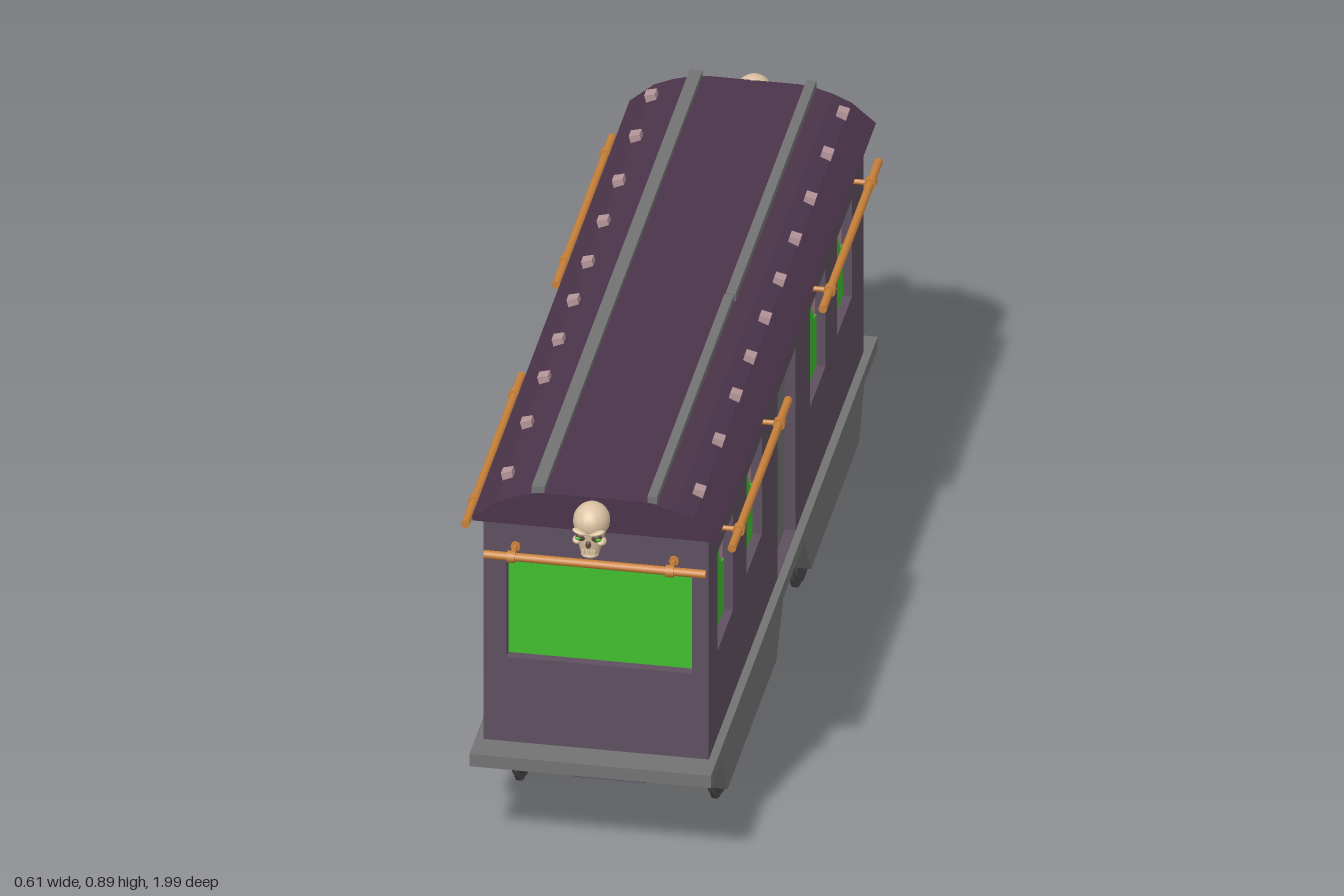
import * as THREE from 'three';

export function createModel() {
  const root = new THREE.Group();
  root.name = 'railwayCarriage';
  const car = new THREE.Group();
  car.name = 'carriage';
  car.position.z = -0.009;
  root.add(car);

  const mat = (name, color) => {
    const m = new THREE.MeshStandardMaterial({ color });
    m.name = name;
    return m;
  };
  const wall = mat('dusty purple', 0x5f5060);
  const roofMat = mat('deep plum', 0x4b344a);
  const grey = mat('iron grey', 0x737373);
  const dark = mat('wheel grey', 0x4c4c4c);
  const copper = mat('copper', 0xc8813a);
  const bone = mat('bone', 0xdcc3a3);
  const pink = mat('faded pink', 0xb59499);
  const green = mat('glowing green', 0x42bf2f);
  const socket = mat('socket brown', 0x5a4638);

  const add = (parent, name, geo, m, x = 0, y = 0, z = 0) => {
    const mesh = new THREE.Mesh(geo, m);
    mesh.name = name;
    mesh.position.set(x, y, z);
    parent.add(mesh);
    return mesh;
  };
  const box = (parent, name, m, x0, x1, y0, y1, z0, z1) =>
    add(parent, name, new THREE.BoxGeometry(x1 - x0, y1 - y0, z1 - z0), m,
      (x0 + x1) / 2, (y0 + y1) / 2, (z0 + z1) / 2);
  const poly = (pts) => new THREE.Shape(pts.map(([x, y]) => new THREE.Vector2(x, y)));
  const rect = (x0, x1, y0, y1) => poly([[x0, y0], [x1, y0], [x1, y1], [x0, y1]]);
  const extrude = (shape, depth) =>
    new THREE.ExtrudeGeometry(shape, { depth, bevelEnabled: false, curveSegments: 6 });

  // Wall panel with rectangular openings
  const panel = (halfWidth, openings) => {
    const s = rect(-halfWidth, halfWidth, 0.25, 0.805);
    openings.forEach((o) => s.holes.push(rect(...o)));
    return extrude(s, 0.025);
  };

  // Copper rod with two brackets, running along local x, wall towards -z
  const rod = (parent, name, x0, x1, brackets, reach) => {
    const g = new THREE.Group();
    g.name = name;
    add(g, 'bar', new THREE.CylinderGeometry(0.0095, 0.0095, x1 - x0, 10).rotateZ(Math.PI / 2),
      copper, (x0 + x1) / 2);
    brackets.forEach((b) => {
      add(g, 'bracketRing', new THREE.CylinderGeometry(0.0135, 0.0135, 0.018, 10).rotateZ(Math.PI / 2), copper, b);
      add(g, 'bracketStem', new THREE.CylinderGeometry(0.006, 0.006, reach, 8).rotateX(Math.PI / 2),
        copper, b, 0, -reach / 2);
      add(g, 'bracketFoot', new THREE.CylinderGeometry(0.011, 0.011, 0.008, 8).rotateX(Math.PI / 2),
        copper, b, 0, -reach + 0.004);
    });
    parent.add(g);
    return g;
  };

  // Side walls with door, windows and rods; local x runs along the car
  const windows = [0.709, 0.374, -0.372, -0.682];
  for (const s of [1, -1]) {
    const side = new THREE.Group();
    side.name = s > 0 ? 'leftSide' : 'rightSide';
    side.rotation.y = s * Math.PI / 2;
    car.add(side);
    const openings = windows.map((z) => [-s * z - 0.09, -s * z + 0.09, 0.46, 0.7]);
    openings.push([-s * -0.003 - 0.104, -s * -0.003 + 0.104, 0.252, 0.7]);
    add(side, 'sideWall', panel(0.904, openings), wall, 0, 0, 0.22);
    box(side, 'door', grey, s * 0.003 - 0.107, s * 0.003 + 0.107, 0.25, 0.703, 0.215, 0.222);
    for (const z of windows) {
      const u = -s * z;
      box(side, 'curtain', pink, u - 0.092, u + 0.092, 0.458, 0.702, 0.216, 0.222);
      const glass = poly([[-0.09, 0.46], [0.09, 0.46], [0.09, 0.585], [0.06, 0.592],
        [0.04, 0.62], [0.015, 0.66], [0, 0.675], [-0.015, 0.66], [-0.04, 0.62], [-0.06, 0.592], [-0.09, 0.585]]);
      add(side, 'windowGlass', extrude(glass, 0.004), green, u, 0, 0.221);
    }
    const shift = s > 0 ? 0.02 : 0;
    for (const [a, b, p, q] of [[0.216, 0.876, 0.3, 0.77], [-0.84, -0.185, -0.766, -0.291]]) {
      const ends = [-s * a, -s * b].sort((m, n) => m - n);
      rod(side, 'sideRod', ends[0], ends[1], [-s * (p + shift), -s * (q + shift)], 0.047)
        .position.set(0, 0.757, 0.29);
    }
  }

  // Skull ornament facing +z
  const skull = (parent, z) => {
    const g = new THREE.Group();
    g.name = 'skullOrnament';
    g.position.z = z;
    parent.add(g);
    const ball = (name, m, x, y, zz, rx, ry, rz) =>
      add(g, name, new THREE.SphereGeometry(1, 18, 12).scale(rx, ry, rz), m, x, y, zz);
    ball('cranium', bone, 0, 0.843, 0.957, 0.04, 0.04, 0.044);
    add(g, 'face', new THREE.CylinderGeometry(0.034, 0.019, 0.06, 16).scale(1, 1, 0.75), bone, 0, 0.799, 0.975);
    ball('chin', bone, 0, 0.772, 0.979, 0.019, 0.008, 0.016);
    ball('noseHole', socket, 0, 0.803, 0.996, 0.006, 0.009, 0.006);
    for (const s of [1, -1]) {
      ball('cheekbone', bone, s * 0.026, 0.806, 0.981, 0.011, 0.008, 0.016);
      ball('eyeSocket', socket, s * 0.017, 0.82, 0.993, 0.012, 0.01, 0.008);
      ball('eye', green, s * 0.021, 0.818, 0.996, 0.008, 0.005, 0.006);
      const brow = ball('brow', bone, s * 0.018, 0.832, 0.994, 0.018, 0.005, 0.011);
      brow.rotation.z = s * 0.3;
    }
    for (let i = -2; i <= 2; i++) {
      box(g, 'tooth', bone, i * 0.006 - 0.0025, i * 0.006 + 0.0025, 0.776, 0.788, 0.985, 0.995);
    }
  };

  // Two ends with a wide window, rod and skull
  for (const s of [1, -1]) {
    const end = new THREE.Group();
    end.name = s > 0 ? 'frontEnd' : 'backEnd';
    if (s < 0) end.rotation.y = Math.PI;
    car.add(end);
    add(end, 'endWall', panel(0.245, [[-0.195, 0.209, 0.457, 0.695]]), wall, 0, 0, 0.879);
    box(end, 'endWindow', green, -0.198, 0.212, 0.454, 0.698, 0.874, 0.882);
    rod(end, 'endRod', -0.235, 0.248, [-0.175, 0.17], 0.05).position.set(0, 0.732, 0.953);
    skull(end, s > 0 ? 0 : -0.018);
  }

  // Curved roof with a thin eave
  const profile = [[0.268, 0.802], [0.215, 0.847], [0.175, 0.864], [0.13, 0.877], [0.1, 0.88]];
  const roofShape = poly([...profile, ...profile.map(([x, y]) => [-x, y]).reverse()]);
  add(car, 'roof', extrude(roofShape, 1.852), roofMat, 0, 0, -0.926);
  box(car, 'eave', roofMat, -0.266, 0.266, 0.795, 0.803, -0.923, 0.923);

  // Roof rails, the left one jointed in the middle
  box(car, 'roofRail', grey, -0.137, -0.109, 0.87, 0.893, -0.924, 0.924);
  box(car, 'roofRail', grey, 0.115, 0.136, 0.87, 0.893, 0.025, 0.924);
  box(car, 'roofRail', grey, 0.117, 0.139, 0.87, 0.893, -0.924, 0.02);

  // Roof studs
  for (const z of [-0.86, -0.68, -0.482, -0.303, -0.122, 0.048, 0.222, 0.39, 0.59, 0.815]) {
    for (const s of [1, -1]) {
      const stud = add(car, 'roofStud', new THREE.BoxGeometry(0.024, 0.018, 0.026), pink, s * 0.208, 0.857, z);
      stud.rotation.z = -s * 0.25;
    }
  }

  // Platform
  box(car, 'platform', grey, -0.263, 0.263, 0.22, 0.25, -0.974, 0.974);

  // Side skirts, bogies and wheels
  const trucks = [
    { skirt: [0.86, 0.775, 0.205, 0.115], wheels: [0.609, 0.369], mid: 0.489 },
    { skirt: [-0.11, -0.2, -0.762, -0.825], wheels: [-0.327, -0.573], mid: -0.45 },
  ];
  for (const t of trucks) {
    const [a, b, c, d] = t.skirt;
    const bogie = new THREE.Group();
    bogie.name = 'bogie';
    car.add(bogie);
    for (const s of [1, -1]) {
      const shape = poly([[-s * a, 0.225], [-s * b, 0.108], [-s * c, 0.108], [-s * d, 0.225]]);
      const skirt = add(bogie, 'sideSkirt', extrude(shape, 0.036), grey, s * 0.226);
      skirt.rotation.y = s * Math.PI / 2;
      for (const z of t.wheels) {
        const wheel = new THREE.Group();
        wheel.name = 'wheel';
        wheel.position.set(s * 0.213, 0.102, z);
        wheel.rotation.z = Math.PI / 2;
        bogie.add(wheel);
        add(wheel, 'rim', new THREE.CylinderGeometry(0.1, 0.1, 0.01, 28), dark);
        add(wheel, 'disc', new THREE.CylinderGeometry(0.088, 0.088, 0.024, 28), dark);
      }
    }
    // Wide frame, then a centre block with chamfered corners and a tapered keel
    box(bogie, 'bogieFrame', wall, -0.19, 0.19, 0.12, 0.222, t.mid - 0.18, t.mid + 0.18);
    const block = poly([[-0.07, -0.262], [0.07, -0.262], [0.12, -0.2], [0.12, 0.2],
      [0.07, 0.262], [-0.07, 0.262], [-0.12, 0.2], [-0.12, -0.2]]);
    add(bogie, 'bogieBlock', extrude(block, 0.104).rotateX(-Math.PI / 2), wall, 0, 0.118, t.mid);
    const keel = poly([[-0.12, 0.12], [-0.08, 0.09], [0.08, 0.09], [0.12, 0.12]]);
    add(bogie, 'bogieKeel', extrude(keel, 0.524), wall, 0, 0, t.mid - 0.262);
  }

  return root;
}
